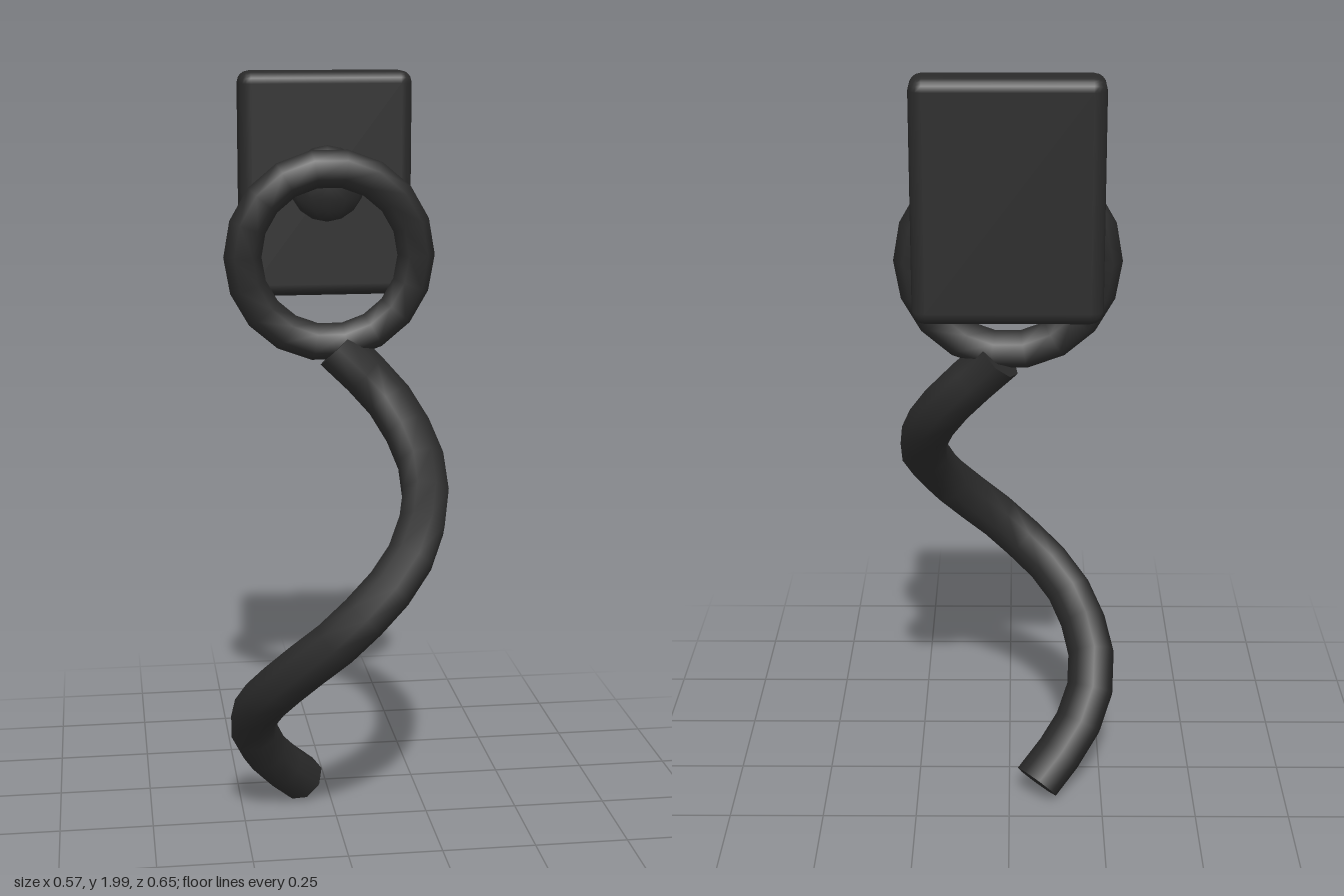
import * as THREE from 'three';
import { RoundedBoxGeometry } from 'three/addons/geometries/RoundedBoxGeometry.js';

export function createModel() {
  const group = new THREE.Group();
  const black = new THREE.MeshStandardMaterial({ color: 0x2a2a2a });
  black.name = 'matte black';

  const add = (name, geometry, x = 0, y = 0, z = 0) => {
    const mesh = new THREE.Mesh(geometry, black);
    mesh.name = name;
    mesh.position.set(x, y, z);
    group.add(mesh);
    return mesh;
  };

  // Wall plate with softened edges
  add('backPlate', new RoundedBoxGeometry(0.458, 0.59, 0.112, 2, 0.032), 0.003, 1.705, -0.269);

  // Flattened button that carries the ring
  const button = add('button', new THREE.SphereGeometry(0.1, 12, 8), 0.003, 1.71, -0.21);
  button.scale.z = 0.5;

  // Ring with a six-sided section
  add('ring', new THREE.TorusGeometry(0.23, 0.05, 6, 18), 0.003, 1.526, -0.155);

  // Spiral tail, a little under one turn
  const path = new THREE.CatmullRomCurve3([
    [0.025, 1.28, -0.16],
    [0.16, 1.14, -0.125],
    [0.228, 0.97, 0.03],
    [0.165, 0.8, 0.195],
    [0.005, 0.635, 0.26],
    [-0.16, 0.475, 0.195],
    [-0.228, 0.315, 0.03],
    [-0.185, 0.18, -0.065],
    [-0.075, 0.055, -0.155],
  ].map((p) => new THREE.Vector3(...p)));
  const radius = 0.064;
  const sides = 8;
  const segments = 18;
  add('spiralTail', new THREE.TubeGeometry(path, segments, radius, sides, false));

  // Flat caps on both ends, aligned with the tube's end rings
  const frames = path.computeFrenetFrames(segments, false);
  for (const [name, t, sign] of [['tailTopCap', 0, -1], ['tailBottomCap', 1, 1]]) {
    const i = t * segments;
    const cap = add(name, new THREE.CircleGeometry(radius, sides));
    const n = frames.normals[i].clone();
    const out = frames.tangents[i].clone().multiplyScalar(sign);
    const side = new THREE.Vector3().crossVectors(out, n);
    cap.quaternion.setFromRotationMatrix(new THREE.Matrix4().makeBasis(n, side, out));
    cap.position.copy(path.getPointAt(t));
  }

  return group;
}
